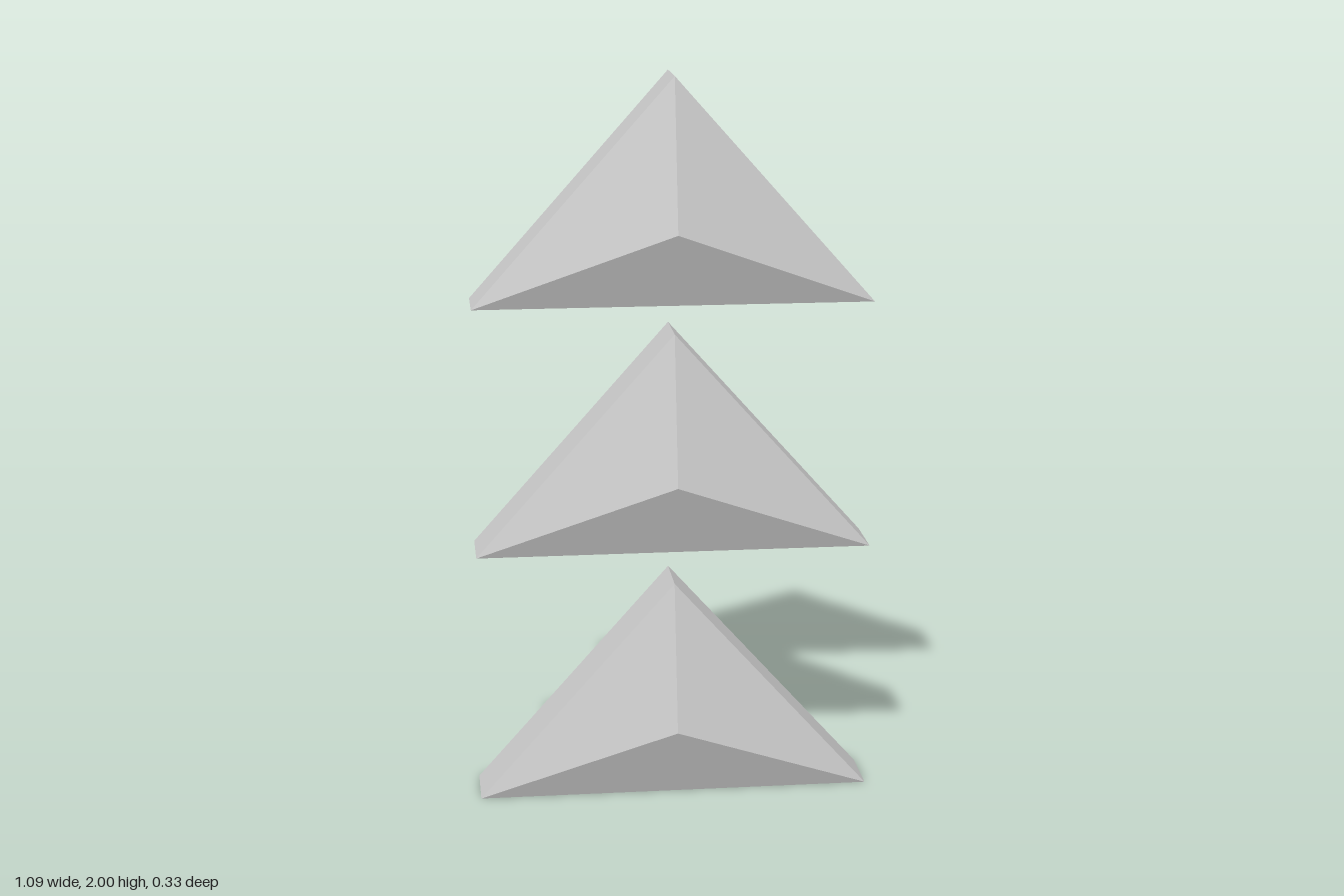
import * as THREE from 'three';
import { ConvexGeometry } from 'three/addons/geometries/ConvexGeometry.js';

const HALF_WIDTH = 0.543, HEIGHT = 0.61, HALF_DEPTH = 0.083, TIP_DEPTH = 0.167;

// Triangular slab with a shallow pyramid on its front and back faces
function arrowGeometry() {
  const points = [];
  for (const side of [1, -1]) {
    const z = side * HALF_DEPTH;
    points.push(
      new THREE.Vector3(-HALF_WIDTH, 0, z),
      new THREE.Vector3(HALF_WIDTH, 0, z),
      new THREE.Vector3(0, HEIGHT, z),
      new THREE.Vector3(0, HEIGHT / 3, side * TIP_DEPTH), // pyramid tip at the centroid
    );
  }
  return new ConvexGeometry(points);
}

export function createModel() {
  const model = new THREE.Group();
  model.name = 'arrowStack';
  const material = new THREE.MeshStandardMaterial({ color: 0xcccccc, flatShading: true });
  const geometry = arrowGeometry();

  // Three equal arrowheads stacked with small gaps
  const arrows = { lowerArrow: 0, middleArrow: 0.702, upperArrow: 1.39 };
  for (const [name, y] of Object.entries(arrows)) {
    const arrow = new THREE.Mesh(geometry, material);
    arrow.name = name;
    arrow.position.y = y;
    model.add(arrow);
  }
  return model;
}
